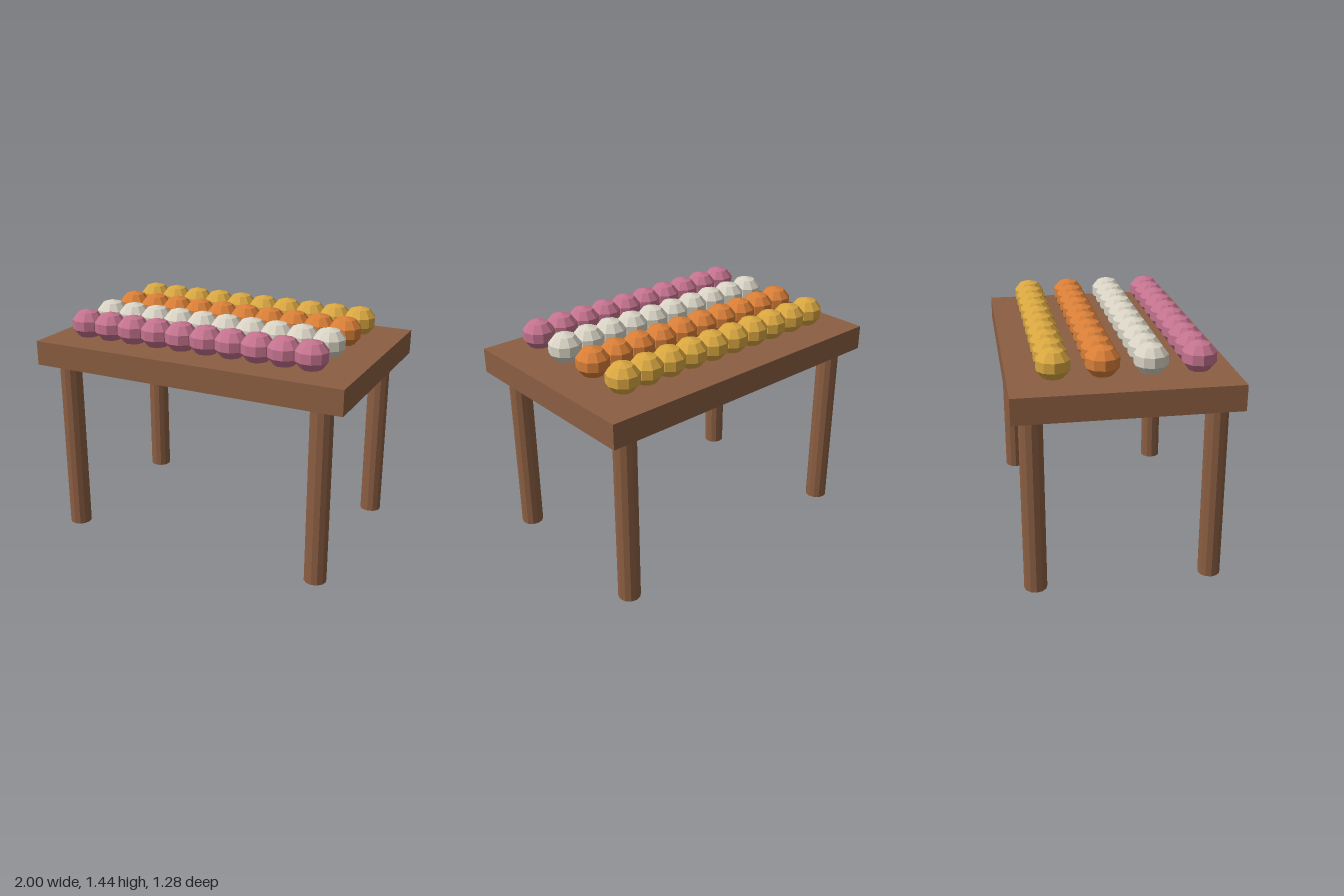
import * as THREE from 'three';

const mat = (name, color) => {
  const m = new THREE.MeshStandardMaterial({ color, flatShading: true });
  m.name = name;
  return m;
};

export function createModel() {
  const model = new THREE.Group();
  model.name = 'tableWithBallRows';
  const wood = mat('brownWood', 0x8b5e42);

  const add = (parent, name, geometry, material, x, y, z) => {
    const mesh = new THREE.Mesh(geometry, material);
    mesh.name = name;
    mesh.position.set(x, y, z);
    parent.add(mesh);
    return mesh;
  };

  // Table top
  add(model, 'tableTop', new THREE.BoxGeometry(2, 0.152, 1.28), wood, 0, 1.178, 0);

  // Four round legs
  const legGeometry = new THREE.CylinderGeometry(0.068, 0.068, 1.102, 12);
  for (const [side, x] of [['Left', 0.84], ['Right', -0.84]]) {
    add(model, `front${side}Leg`, legGeometry, wood, x, 0.551, 0.523);
    add(model, `back${side}Leg`, legGeometry, wood, x, 0.551, -0.523);
  }

  // Four rows of ten faceted balls, resting on the top
  const ballGeometry = new THREE.SphereGeometry(0.103, 10, 5);
  ballGeometry.scale(1, 0.905, 1);
  const rows = [
    ['pink', 0xc4738e, 0.43],
    ['cream', 0xd8d3c4, 0.158],
    ['orange', 0xd97f38, -0.113],
    ['gold', 0xd9a741, -0.385],
  ];
  for (const [name, color, z] of rows) {
    const row = new THREE.Group();
    row.name = `${name}BallRow`;
    const material = mat(name, color);
    for (let i = 0; i < 10; i++) {
      add(row, `${name}Ball`, ballGeometry, material, -0.752 + i * 0.165, 1.347, z);
    }
    model.add(row);
  }
  return model;
}
